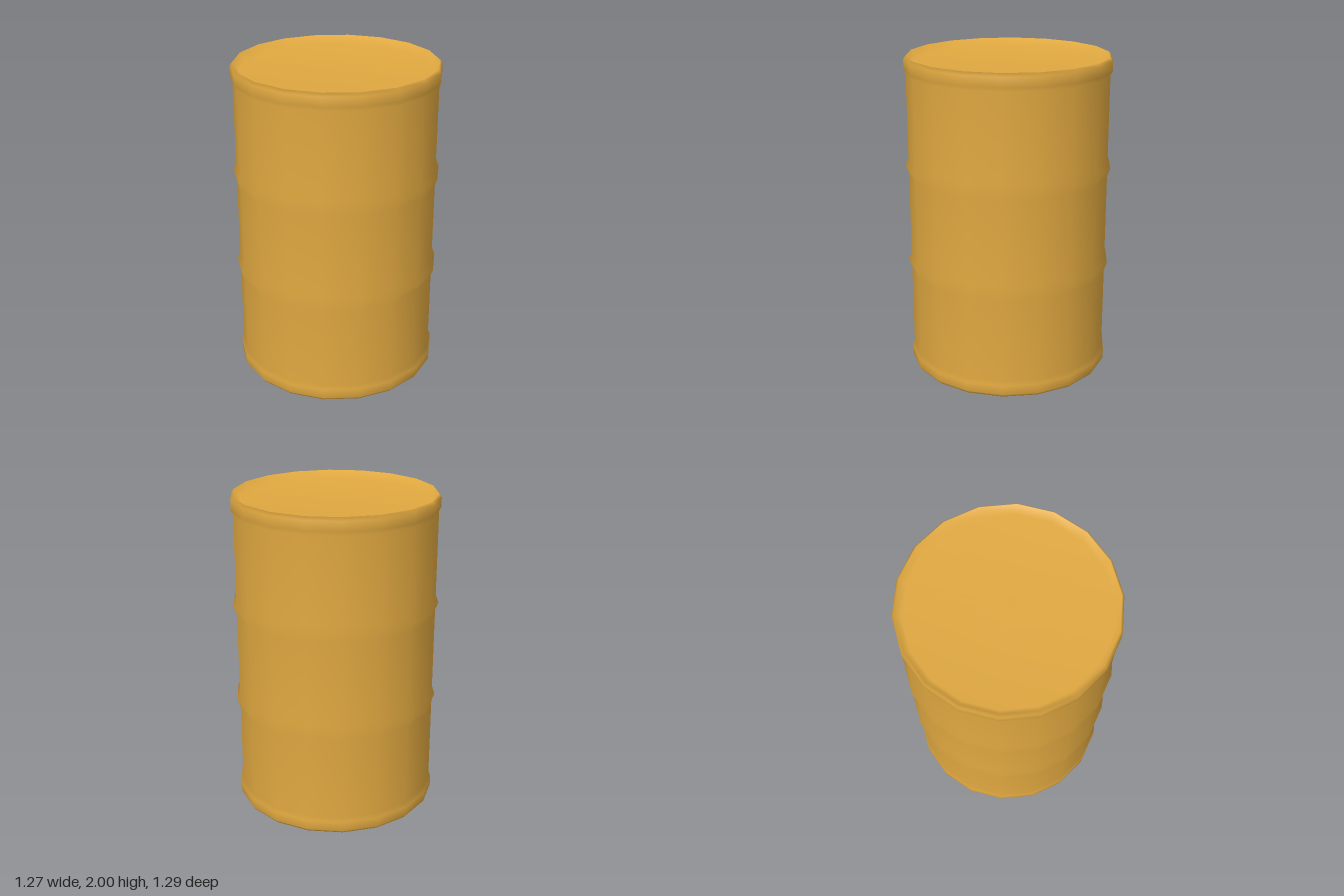
import * as THREE from 'three';

const SIDES = 18;

// Half profile from the bottom middle, up the wall, to the top middle
function barrelProfile() {
  const rim = [[0, 0.05], [0.585, 0.05], [0.622, 0], [0.637, 0.02], [0.638, 0.08], [0.625, 0.105]];
  const points = [...rim];
  for (const y of [0.69, 1.315]) {
    points.push([0.625, y - 0.05], [0.643, y], [0.625, y + 0.05]); // rolling hoop
  }
  for (const [r, y] of [...rim].reverse()) points.push([r, 2 - y]);
  return points.map(([r, y]) => new THREE.Vector2(r, y));
}

export function createModel() {
  const group = new THREE.Group();
  group.name = 'barrel';

  const geometry = new THREE.LatheGeometry(barrelProfile(), SIDES);

  // Slight dent in the front, just under the lower hoop
  const pos = geometry.attributes.position;
  for (let i = 0; i < pos.count; i++) {
    if (Math.abs(pos.getX(i)) < 0.01 && pos.getZ(i) > 0.5 && Math.abs(pos.getY(i) - 0.64) < 0.01) {
      pos.setZ(i, 0.61);
    }
  }

  const drum = new THREE.Mesh(geometry, new THREE.MeshStandardMaterial({ color: 0xe0a840 }));
  drum.name = 'drumShell';
  group.add(drum);
  return group;
}
